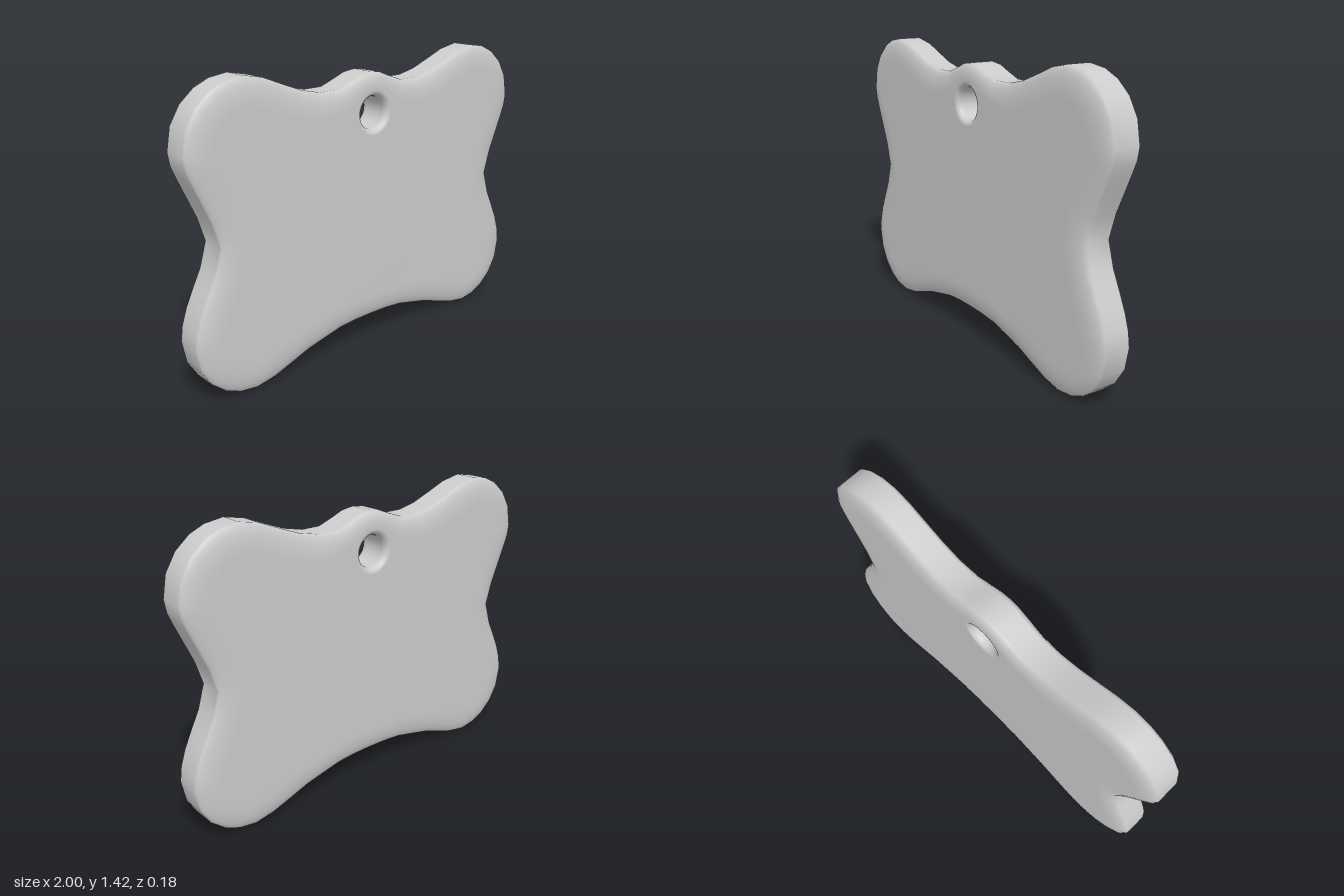
import * as THREE from 'three';

const WALL = 0.055;   // half height of the straight rim
const ROUND = 0.035;  // height of the rounded shoulder
const STEPS = 6;
const HOLE = { x: 0, y: 1.17, r: 0.077 };

// Right half of the silhouette, from top centre round to bottom centre
const half = [
  [0, 1.36], [0.06, 1.352], [0.12, 1.328], [0.2, 1.3], [0.3, 1.3], [0.4, 1.322], [0.5, 1.36],
  [0.6, 1.4], [0.7, 1.42], [0.79, 1.407], [0.86, 1.376], [0.93, 1.317], [0.98, 1.235], [1, 1.13],
  [0.99, 1.07], [0.965, 1.01], [0.925, 0.92], [0.885, 0.83], [0.85, 0.715],
  [0.885, 0.6], [0.925, 0.52], [0.965, 0.435], [0.99, 0.36], [1, 0.29], [0.98, 0.185], [0.93, 0.103],
  [0.86, 0.044], [0.79, 0.013], [0.7, 0], [0.6, 0.017], [0.5, 0.05], [0.4, 0.085],
  [0.3, 0.108], [0.2, 0.13], [0.1, 0.138], [0, 0.14],
];

// Full silhouette, counter-clockwise
function outline() {
  const left = half.slice(1, -1).map(([x, y]) => [-x, y]);
  return [...left, ...[...half].reverse()].map(([x, y]) => new THREE.Vector2(x, y));
}

// Hole loop, clockwise so that the material lies on its left
function holeLoop(n = 28) {
  return Array.from({ length: n }, (_, i) => {
    const a = -2 * Math.PI * i / n;
    return new THREE.Vector2(HOLE.x + HOLE.r * Math.cos(a), HOLE.y + HOLE.r * Math.sin(a));
  });
}

// Moves every point of a loop into the material by amount(point)
function inset(loop, amount) {
  const n = loop.length;
  return loop.map((p, i) => {
    const t = loop[(i + 1) % n].clone().sub(loop[(i + n - 1) % n]).normalize();
    return new THREE.Vector2(-t.y, t.x).multiplyScalar(amount(p)).add(p);
  });
}

function plateGeometry() {
  const positions = [], index = [];

  // Rounded wall along a loop; returns its first and last rings
  function addWall(loop, width) {
    const n = loop.length, base = positions.length / 3;
    const profile = [];
    for (let s = 0; s <= STEPS; s++) {
      const a = s / STEPS * Math.PI / 2;
      profile.push([1 - Math.cos(a), WALL + ROUND * Math.sin(a)]);
    }
    const rings = [...[...profile].reverse().map(([t, z]) => [t, -z]), ...profile];
    rings.forEach(([t, z], k) => {
      inset(loop, (p) => t * width(p)).forEach((p, i) => {
        positions.push(p.x, p.y, z);
        if (k === rings.length - 1) return;
        const a = base + k * n + i, b = base + k * n + (i + 1) % n;
        index.push(a, b, b + n, a, b + n, a + n);
      });
    });
    return { back: base, front: base + (rings.length - 1) * n, n, top: inset(loop, width) };
  }

  // The rim narrows beside the hole to leave a flat web
  const rim = addWall(outline(), (p) =>
    Math.min(0.12, 0.6 * (Math.hypot(p.x - HOLE.x, p.y - HOLE.y) - HOLE.r)));
  const bore = addWall(holeLoop(), () => 0.028);

  // Flat faces
  for (const [a, b, c] of THREE.ShapeUtils.triangulateShape(rim.top, [bore.top])) {
    const pick = (side) => [a, b, c].map((i) => (i < rim.n ? rim[side] + i : bore[side] + i - rim.n));
    const p = (i) => (i < rim.n ? rim.top[i] : bore.top[i - rim.n]);
    const ccw = p(b).clone().sub(p(a)).cross(p(c).clone().sub(p(a))) > 0;
    const f = pick('front'), k = pick('back');
    index.push(...(ccw ? f : f.reverse()), ...(ccw ? k.reverse() : k));
  }

  const geometry = new THREE.BufferGeometry();
  geometry.setAttribute('position', new THREE.Float32BufferAttribute(positions, 3));
  geometry.setIndex(index);
  geometry.computeVertexNormals();
  return geometry;
}

export function createModel() {
  const group = new THREE.Group();
  group.name = 'boneTag';
  const plate = new THREE.Mesh(plateGeometry(), new THREE.MeshStandardMaterial({ color: 0xcccccc }));
  plate.name = 'tagPlate';
  group.add(plate);
  return group;
}
